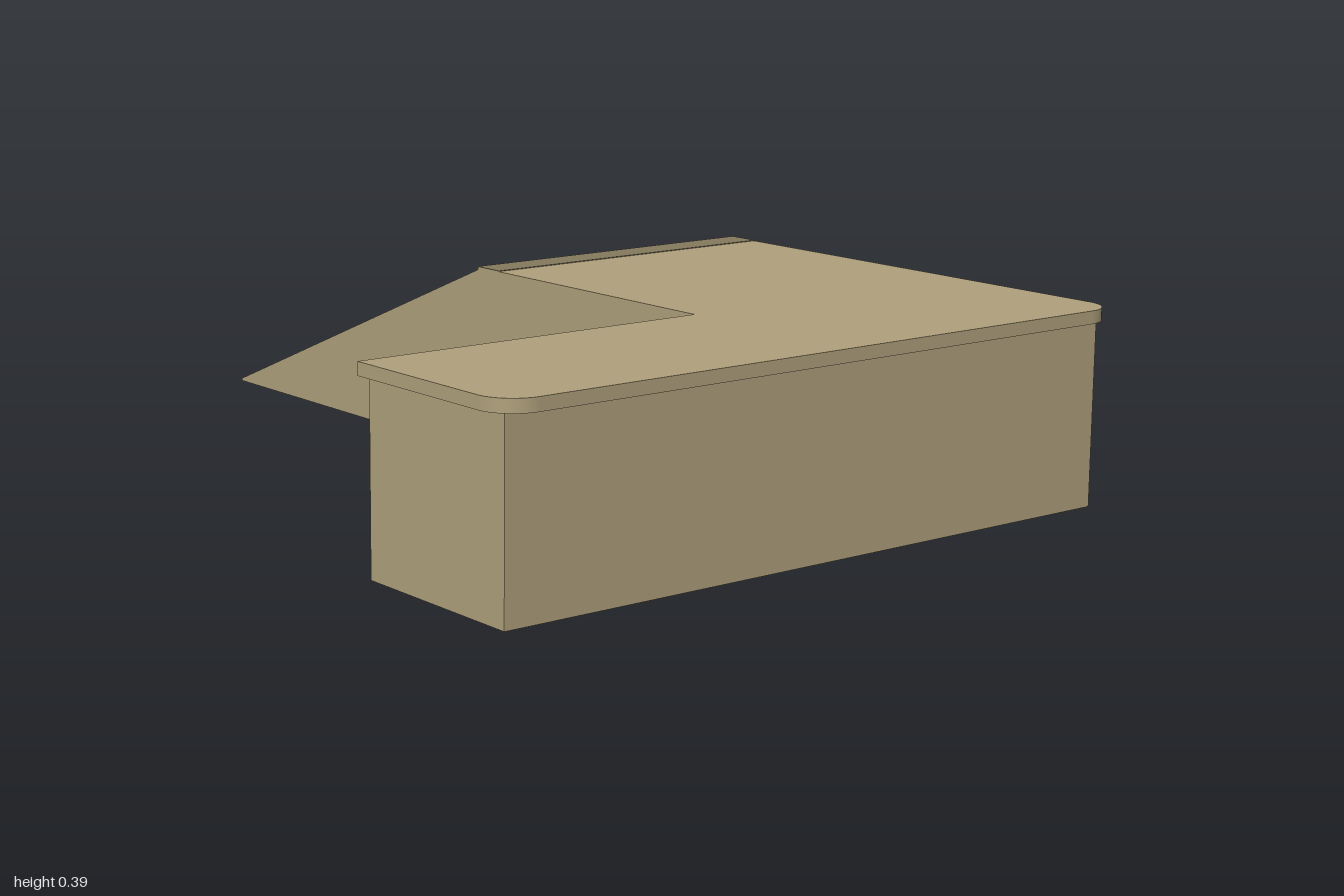
import * as THREE from 'three';

const tan = new THREE.MeshStandardMaterial({ color: 0xb0a17c });
tan.name = 'tan';
const darkTan = new THREE.MeshStandardMaterial({ color: 0x857a5e });
darkTan.name = 'darkTan';

const TOP = 0.385, DECK_Y = 0.36;      // deck surface and underside
const STAIR_X = -0.08, TOE_X = -1;     // head and foot of the stair
const BACK = -0.69, FRONT = 0.69, INNER = -0.03;

const polygon = pts => new THREE.Shape(pts.map(([x, y]) => new THREE.Vector2(x, y)));

// Side profile (x, y) extruded from z0 to z1
function sideways(shape, z0, z1) {
  return new THREE.ExtrudeGeometry(shape, { depth: z1 - z0, bevelEnabled: false }).translate(0, 0, z0);
}

// Plan outline (x, -z) extruded from y0 to y1
function upright(shape, y0, y1) {
  return new THREE.ExtrudeGeometry(shape, { depth: y1 - y0, bevelEnabled: false, curveSegments: 10 })
    .rotateX(-Math.PI / 2).translate(0, y0, 0);
}

export function createModel() {
  const model = new THREE.Group();
  const add = (name, geometry, material = tan) => {
    const mesh = new THREE.Mesh(geometry, material);
    mesh.name = name;
    model.add(mesh);
  };

  // L-shaped base under the deck
  add('base', upright(polygon([
    [STAIR_X, -INNER], [0.59, -INNER], [0.59, -FRONT], [0.97, -FRONT], [0.97, -BACK], [STAIR_X, -BACK],
  ]), 0, DECK_Y));

  // L-shaped deck slab with two rounded outer corners
  const r = 0.07, edge = 0.714;
  const deck = new THREE.Shape();
  deck.moveTo(STAIR_X, -INNER);
  deck.lineTo(0.59, -INNER);
  deck.lineTo(0.59, -edge);
  deck.lineTo(1 - r, -edge);
  deck.absarc(1 - r, -edge + r, r, -Math.PI / 2, 0, false);
  deck.lineTo(1, edge - r);
  deck.absarc(1 - r, edge - r, r, 0, Math.PI / 2, false);
  deck.lineTo(STAIR_X, edge);
  add('deck', upright(deck, DECK_Y, TOP));

  // Dark warning strip at the head of the stair
  add('edgeStrip', new THREE.BoxGeometry(0.07, 0.002, edge + INNER)
    .translate(STAIR_X + 0.035, TOP + 0.0005, (INNER - edge) / 2), darkTan);

  // Sloped side walls of the stair
  const wall = polygon([[TOE_X, 0], [STAIR_X, 0], [STAIR_X, 0.38], [TOE_X, 0.005]]);
  add('backStairWall', sideways(wall, BACK, -0.62));
  add('frontStairWall', sideways(wall, -0.10, INNER));

  // Steps between the walls
  const steps = 20, start = -0.955;
  const run = (STAIR_X - start) / steps, rise = TOP / (steps + 1);
  const profile = [[STAIR_X, 0], [start, 0]];
  for (let i = 0; i < steps; i++) {
    const y = (i + 1) * rise;
    profile.push([start + i * run, y], [start + (i + 1) * run, y]);
  }
  add('steps', sideways(polygon(profile.reverse()), -0.62, -0.10));

  return model;
}
